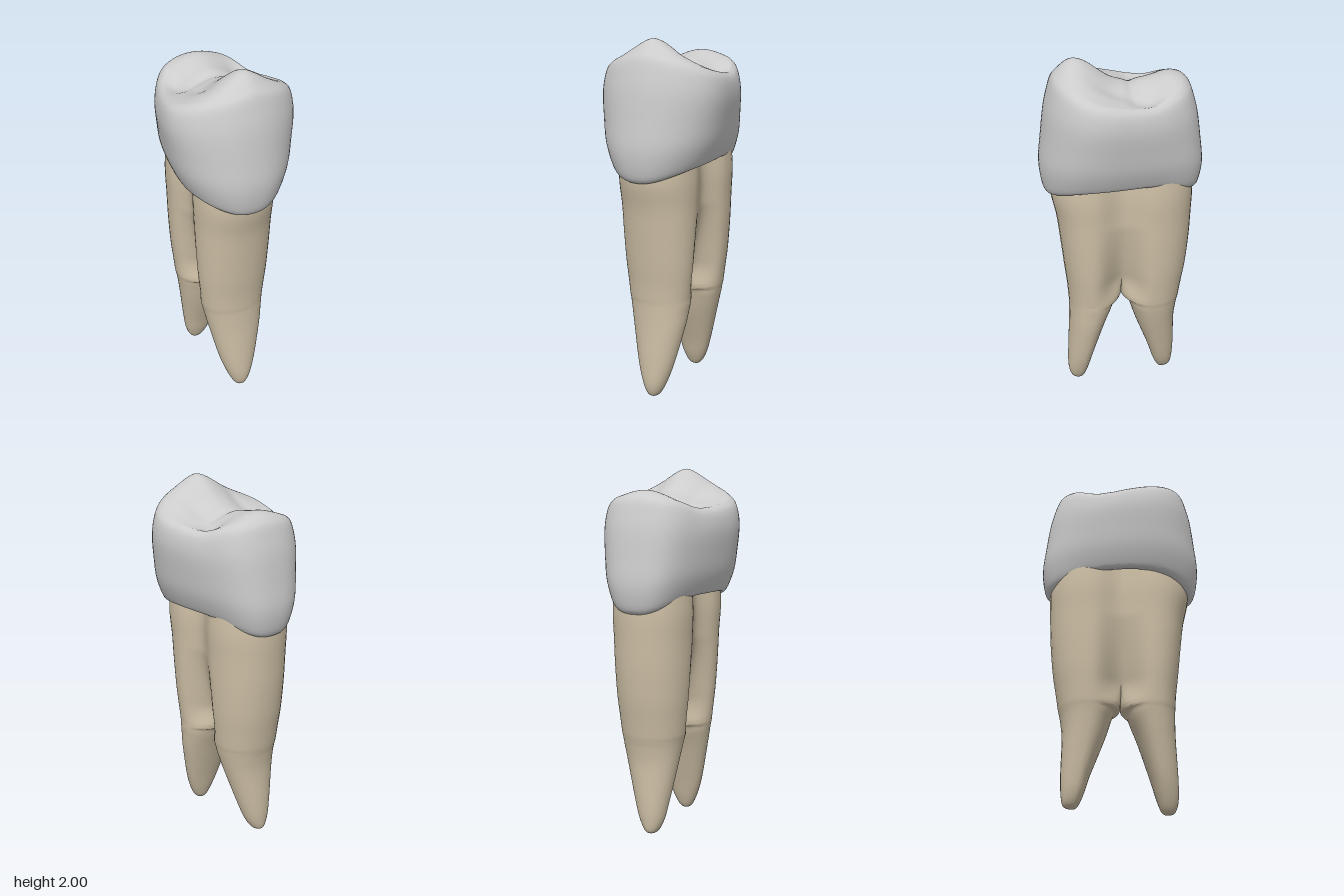
import * as THREE from 'three';
import { toCreasedNormals } from 'three/addons/utils/BufferGeometryUtils.js';

// Skin a stack of closed loops (each loop is a list of [x, y, z])
function loft(loops, crease) {
  const n = loops[0].length, index = [];
  for (let i = 0; i < loops.length - 1; i++) {
    for (let j = 0; j < n; j++) {
      const a = i * n + j, b = i * n + (j + 1) % n;
      index.push(a, a + n, b, b, a + n, b + n);
    }
  }
  const geo = new THREE.BufferGeometry();
  geo.setAttribute('position', new THREE.Float32BufferAttribute(loops.flat(2), 3));
  geo.setIndex(index);
  return toCreasedNormals(geo, crease);
}

// Smoothly subdivide a table of rows, column by column
function refine(rows, steps) {
  const out = [], last = rows.length - 1;
  for (let k = 0; k <= last * steps; k++) {
    const i = Math.min(Math.floor(k / steps), last - 1), t = k / steps - i;
    const [p, a, b, q] = [Math.max(i - 1, 0), i, i + 1, Math.min(i + 2, last)].map(r => rows[r]);
    out.push(a.map((v, c) => {
      const m0 = (b[c] - p[c]) / 2, m1 = (q[c] - v) / 2, t2 = t * t, t3 = t2 * t;
      return v * (2 * t3 - 3 * t2 + 1) + m0 * (t3 - 2 * t2 + t) + b[c] * (3 * t2 - 2 * t3) + m1 * (t3 - t2);
    }));
  }
  return out;
}

const bump = (v, centre, width) => Math.exp(-(((v - centre) / width) ** 2));

// Height of the chewing surface: tall front cusp, low back cusp, middle ridge, pits and grooves
function biteHeight(x, z) {
  const front = 0.2 * Math.exp(-((Math.hypot(x - 0.015, 0.015) / 0.24) ** 1.5)) * bump(z, 0.25, z > 0.25 ? 0.15 : 0.2);
  const back = 0.09 * bump(x, 0, 0.22) * bump(z, -0.28, 0.13);
  const ridge = 0.042 * bump(z, -0.1, 0.12) * bump(x, 0, 0.12);
  const groove = 0.014 * bump(z, -0.05, 0.03) * bump(x, 0, 0.22);
  const pits = 0.025 * bump(z, -0.12, 0.07) * (bump(x, 0.19, 0.06) + bump(x, -0.19, 0.06));
  const flutes = 0.015 * bump(z, 0.08, 0.12) * (bump(x, 0.14, 0.05) + bump(x, -0.14, 0.05));
  return 1.805 + front + back + ridge - groove - pits - flutes;
}

// Crown wall from hem to rim, then the chewing surface closing to the middle
function crownGeometry() {
  const n = 80, loops = [], power = 2.35;
  // height fraction, half width, half depth
  const wall = refine([
    [0.02, 0.2, 0.36], [0, 0.238, 0.398], [0.06, 0.262, 0.428], [0.25, 0.298, 0.445],
    [0.48, 0.32, 0.43], [0.7, 0.335, 0.411], [0.85, 0.332, 0.388], [0.95, 0.317, 0.366], [1, 0.29, 0.338],
  ], 5);
  // rounded outline, fuller in front than behind
  const section = (hx, hz, j) => {
    const th = j / n * Math.PI * 2, c = Math.cos(th), s = Math.sin(th);
    const r = (Math.abs(c) ** power + Math.abs(s) ** power) ** (-1 / power);
    const depth = s * r;
    return [hx * c * r * (1 + 0.26 * depth * (1 - depth * depth)), hz * depth, depth];
  };
  const angles = [...Array(n).keys()];
  const rimRow = wall[wall.length - 1];
  for (const [t, hx, hz] of wall) {
    loops.push(angles.map(j => {
      const [x, z, depth] = section(hx, hz, j);
      const [rx, rz] = section(rimRow[1], rimRow[2], j);
      const hem = 1.255 + 0.083 * (1 - Math.abs(depth) ** 3);
      return [x, hem + t * (biteHeight(rx, rz) - hem), z];
    }));
  }
  for (let k = 1; k <= 26; k++) {
    const s = 1 - k / 26;
    loops.push(angles.map(j => {
      const [x, z] = section(rimRow[1] * s, rimRow[2] * s, j);
      return [x, biteHeight(x, z), z];
    }));
  }
  return loft(loops, 1.2);
}

// One root: free below the fork, half of the shared trunk above it
// rows: height, inner z, outer z, half width, sideways shift
function rootGeometry(rows, side) {
  const n = 48, firstCos = Math.cos(Math.PI * 2 / n);
  const loops = refine(rows, 6).map(([y, zin, zout, w, shift]) => {
    const inner = Math.max(zin, 0);
    const mid = 0.165 + 0.09 * Math.max(0, 1 - y / 0.55) ** 1.1;
    // the waist between the two halves opens just above the fork
    const waist = 0.78 * Math.sqrt(THREE.MathUtils.clamp((y - 0.575) / 0.5, 0, 1));
    const soft = THREE.MathUtils.smoothstep(y, 0.52, 0.72);
    return Array.from({ length: n }, (_, j) => {
      const v = THREE.MathUtils.clamp(Math.cos(j / n * Math.PI * 2) / firstCos, -1, 1);
      const arc = Math.sqrt(1 - Math.abs(v) ** 2.2);
      const bell = 0.5 + 0.5 * Math.cos(Math.PI * v);
      const across = v > 0 ? waist + (1 - waist) * THREE.MathUtils.lerp(arc, bell, soft) : arc;
      const dir = j === 0 ? 0 : Math.sign(n / 2 - j);
      const z = mid - v * (v > 0 ? mid - inner : zout - mid);
      return [side * dir * w * across + shift, Math.max(y, 0), side * z];
    });
  });
  return loft(loops, 0.9);
}

export function createModel() {
  const group = new THREE.Group();
  const add = (name, geo, color) => {
    const mesh = new THREE.Mesh(geo, new THREE.MeshStandardMaterial({ color }));
    mesh.name = name;
    group.add(mesh);
  };

  add('crown', crownGeometry(), 0xcccccc);

  const tan = 0xcdbfa5;
  add('frontRoot', rootGeometry([
    [0, 0.255, 0.256, 0.001, 0.012], [0.015, 0.222, 0.292, 0.033, 0.012], [0.08, 0.195, 0.312, 0.068, 0.012],
    [0.2, 0.16, 0.312, 0.108, 0.01], [0.4, 0.095, 0.302, 0.153, 0.008], [0.5, 0.055, 0.3, 0.17, 0.004],
    [0.55, 0.034, 0.3, 0.178, 0.002], [0.575, 0, 0.302, 0.181, 0], [0.66, 0, 0.308, 0.19, 0],
    [0.78, 0, 0.322, 0.202, 0], [0.95, 0, 0.34, 0.211, 0], [1.1, 0, 0.358, 0.215, 0],
    [1.25, 0, 0.388, 0.22, 0], [1.4, 0, 0.385, 0.21, 0],
  ], 1), tan);
  add('backRoot', rootGeometry([
    [0.01, 0.253, 0.254, 0.001, -0.03], [0.025, 0.225, 0.3, 0.035, -0.03], [0.09, 0.195, 0.314, 0.07, -0.026],
    [0.2, 0.16, 0.318, 0.1, -0.018], [0.4, 0.085, 0.315, 0.145, -0.005], [0.5, 0.053, 0.325, 0.166, 0],
    [0.55, 0.034, 0.335, 0.176, 0], [0.575, 0, 0.34, 0.181, 0], [0.66, 0, 0.353, 0.19, 0],
    [0.78, 0, 0.372, 0.202, 0], [0.95, 0, 0.388, 0.211, 0], [1.1, 0, 0.395, 0.215, 0],
    [1.25, 0, 0.4, 0.22, 0], [1.4, 0, 0.39, 0.21, 0],
  ], -1), tan);
  return group;
}
